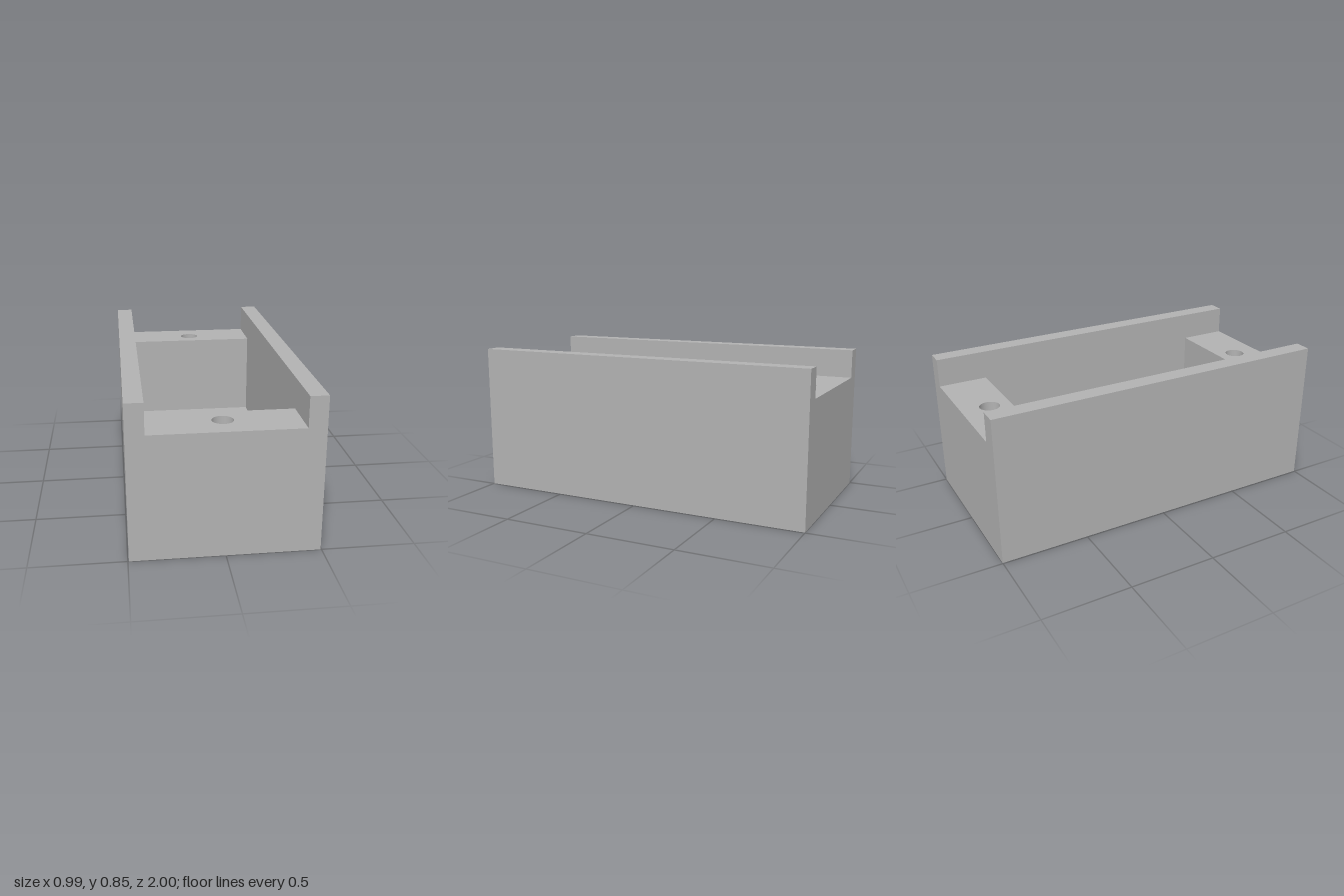
import * as THREE from 'three';

const HALF_W = 0.495, HALF_L = 1, HEIGHT = 0.845;
const INNER_W = 0.398, INNER_L = 0.718;
const FLOOR = 0.17, LEDGE = 0.68;

// Horizontal slab with one round hole, from y0 to y1, centred on cz
function drilledSlab(halfW, halfL, cz, holeZ, holeR, y0, y1) {
  const shape = new THREE.Shape([
    new THREE.Vector2(-halfW, -halfL), new THREE.Vector2(halfW, -halfL),
    new THREE.Vector2(halfW, halfL), new THREE.Vector2(-halfW, halfL),
  ]);
  const hole = new THREE.Path();
  hole.absarc(0, cz - holeZ, holeR, 0, Math.PI * 2, true);
  shape.holes.push(hole);
  const geometry = new THREE.ExtrudeGeometry(shape, {
    depth: y1 - y0, bevelEnabled: false, curveSegments: 48,
  });
  return geometry.rotateX(-Math.PI / 2).translate(0, y0, cz);
}

export function createModel() {
  const group = new THREE.Group();
  group.name = 'openHousing';
  const grey = new THREE.MeshStandardMaterial({ color: 0xb2b2b2 });
  grey.name = 'grey';

  const add = (name, geometry) => {
    const mesh = new THREE.Mesh(geometry, grey);
    mesh.name = name;
    group.add(mesh);
  };

  // Floor with the large through hole towards the back
  add('floor', drilledSlab(HALF_W, HALF_L, 0, -0.338, 0.234, 0, FLOOR));

  // Tall side walls
  for (const [name, side] of [['leftWall', 1], ['rightWall', -1]]) {
    const wall = new THREE.BoxGeometry(HALF_W - INNER_W, HEIGHT - FLOOR, 2 * HALF_L);
    wall.translate(side * (HALF_W + INNER_W) / 2, (HEIGHT + FLOOR) / 2, 0);
    add(name, wall);
  }

  // Lower end blocks, each with a blind screw hole
  for (const [name, end] of [['frontBlock', 1], ['backBlock', -1]]) {
    add(name, drilledSlab(INNER_W, (HALF_L - INNER_L) / 2, end * (HALF_L + INNER_L) / 2,
      end * 0.838, 0.057, FLOOR, LEDGE));
  }
  return group;
}
